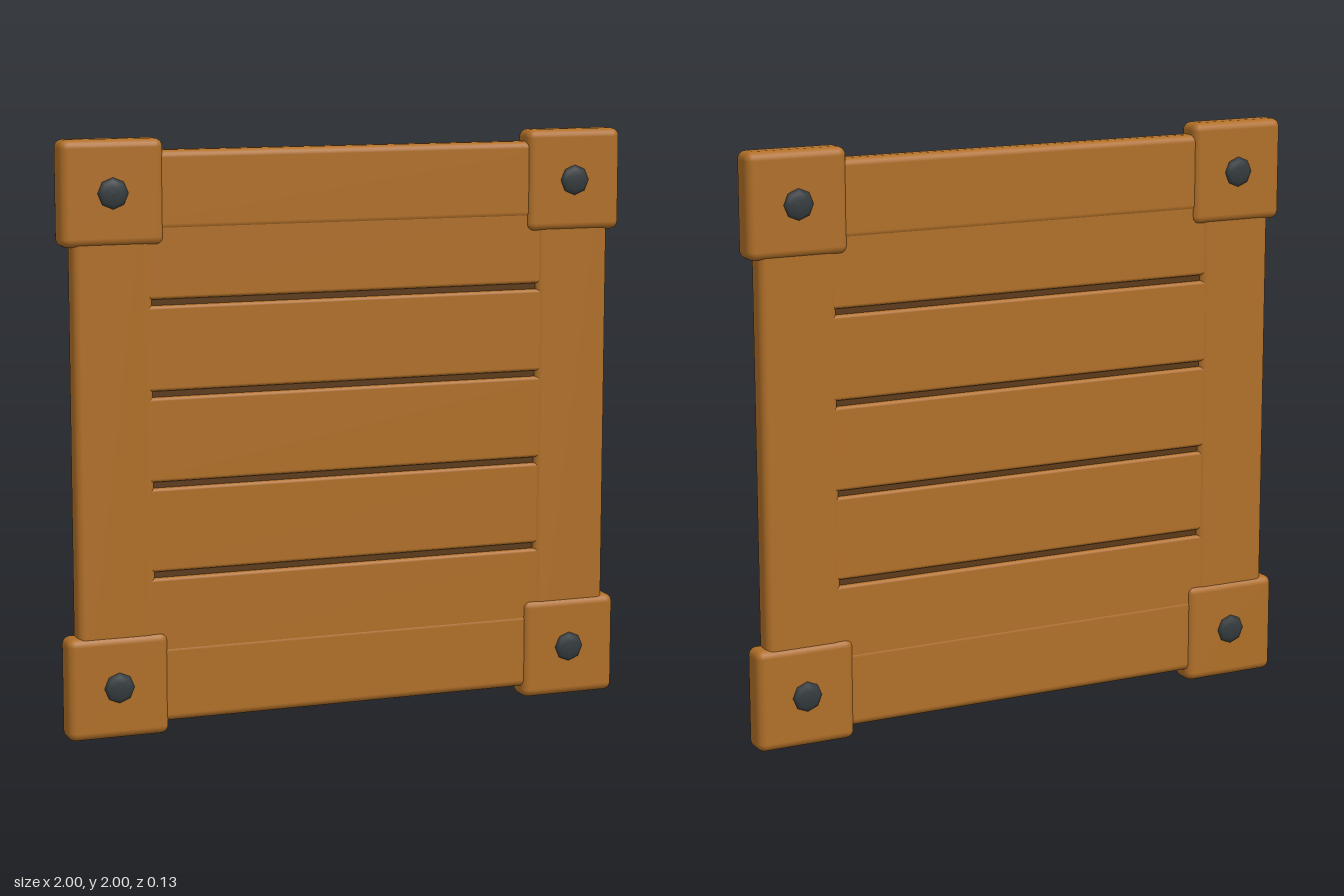
import * as THREE from 'three';
import { RoundedBoxGeometry } from 'three/addons/geometries/RoundedBoxGeometry.js';

export function createModel() {
  const model = new THREE.Group();
  model.name = 'woodenPanel';

  const wood = new THREE.MeshStandardMaterial({ color: 0xb06f28 });
  wood.name = 'wood';
  const darkWood = new THREE.MeshStandardMaterial({ color: 0x5c3a18 });
  darkWood.name = 'darkWood';
  const iron = new THREE.MeshStandardMaterial({ color: 0x343b3e });
  iron.name = 'darkIron';

  // Rounded wooden board given by its x and y limits
  function board(name, x0, x1, y0, y1, depth, radius) {
    const geometry = new RoundedBoxGeometry(x1 - x0, y1 - y0, depth, 3, radius);
    const mesh = new THREE.Mesh(geometry, wood);
    mesh.name = name;
    mesh.position.set((x0 + x1) / 2, (y0 + y1) / 2, 0);
    model.add(mesh);
  }

  // Dark core seen through the gaps between the planks
  const core = new THREE.Mesh(new THREE.BoxGeometry(1.5, 1.5, 0.048), darkWood);
  core.name = 'corePanel';
  core.position.y = 1;
  model.add(core);

  // Horizontal planks, two of them set slightly deeper
  const seams = [0.24, 0.545, 0.85, 1.155, 1.46, 1.765];
  const plankDepths = [0.077, 0.073, 0.077, 0.077, 0.073];
  plankDepths.forEach((depth, i) => {
    board('plank', -0.75, 0.75, seams[i] + 0.01, seams[i + 1] - 0.01, depth, 0.012);
  });

  // Frame: top and bottom rails, side stiles
  board('bottomRail', -0.8, 0.8, 0.04, 0.305, 0.08, 0.024);
  board('topRail', -0.8, 0.8, 1.695, 1.96, 0.08, 0.024);
  board('leftStile', 0.69, 0.96, 0.1, 1.9, 0.0804, 0.024);
  board('rightStile', -0.96, -0.69, 0.1, 1.9, 0.0804, 0.024);

  // Low domed eight-sided bolt head, its axis turned to z
  const boltProfile = [[0.052, 0.03], [0.052, 0.051], [0.04, 0.059], [0.02, 0.062], [0, 0.063]]
    .map(([r, h]) => new THREE.Vector2(r, h));
  const boltGeometry = new THREE.LatheGeometry(boltProfile, 8).rotateX(Math.PI / 2);

  // Corner blocks with a bolt head on the front and the back
  for (const sx of [-1, 1]) {
    for (const y of [0.175, 1.825]) {
      const x = sx * 0.825;
      board('cornerBlock', x - 0.175, x + 0.175, y - 0.175, y + 0.175, 0.1, 0.028);
      for (const turn of [0, Math.PI]) {
        const bolt = new THREE.Mesh(boltGeometry, iron);
        bolt.name = turn ? 'backBolt' : 'frontBolt';
        bolt.position.set(x, y, 0);
        bolt.rotation.y = turn;
        model.add(bolt);
      }
    }
  }

  return model;
}
